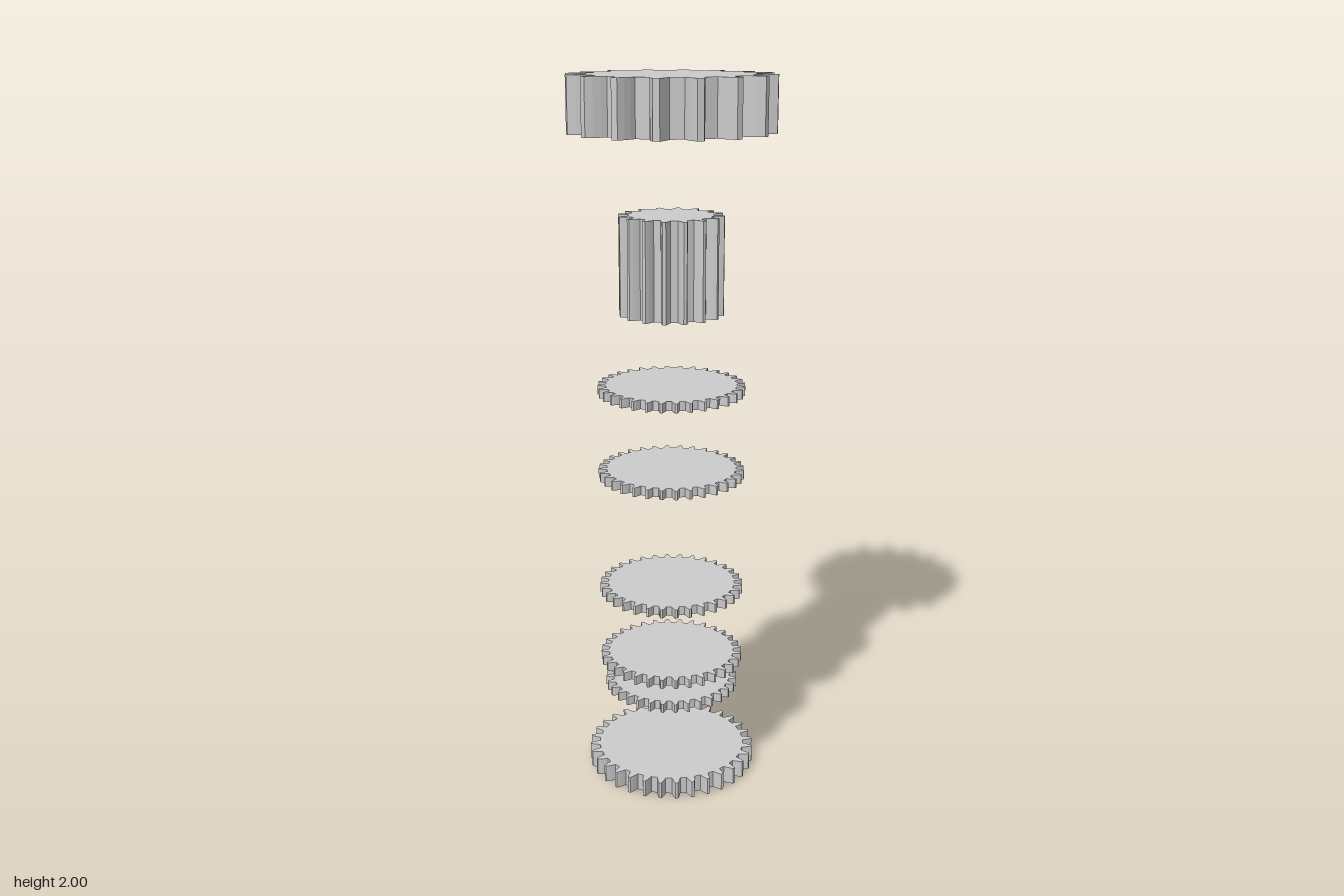
import * as THREE from 'three';

const material = new THREE.MeshStandardMaterial({ color: 0xcccccc, flatShading: true });

// Spur gear standing on y = bottom, one tooth pointing along +x
function gear(name, teeth, outer, root, bottom, top) {
  const pitch = (Math.PI * 2) / teeth;
  // Half tooth flank: [height fraction, half-angle as a fraction of the pitch]
  const flank = [[0, 0.285], [0.3, 0.235], [0.65, 0.165], [0.95, 0.09], [1, 0.08]];
  const profile = [
    ...flank.map(([h, a]) => [h, -a]),
    ...flank.slice().reverse(),
  ];
  const points = [];
  for (let i = 0; i < teeth; i++) {
    for (const [h, a] of profile) {
      const r = root + (outer - root) * h;
      const angle = (i + a) * pitch;
      points.push(new THREE.Vector2(r * Math.cos(angle), r * Math.sin(angle)));
    }
  }
  const geometry = new THREE.ExtrudeGeometry(new THREE.Shape(points), {
    depth: top - bottom,
    bevelEnabled: false,
  });
  geometry.rotateX(-Math.PI / 2);
  const mesh = new THREE.Mesh(geometry, material);
  mesh.name = name;
  mesh.position.y = bottom;
  return mesh;
}

export function createModel() {
  const model = new THREE.Group();
  model.name = 'gearStack';

  // Large coarse gear and long pinion
  model.add(gear('topGear', 16, 0.28, 0.223, 1.85, 2));
  model.add(gear('longPinion', 16, 0.144, 0.115, 1.363, 1.634));

  // Four equal thin gears
  [1.139, 0.895, 0.546, 0.329].forEach((y, i) => {
    model.add(gear(`thinGear${i + 1}`, 32, 0.206, 0.183, y, y + 0.026));
  });

  // Slightly smaller thin gear and the wide base gear
  model.add(gear('smallThinGear', 32, 0.193, 0.172, 0.247, 0.273));
  model.add(gear('baseGear', 32, 0.243, 0.215, 0, 0.05));

  return model;
}
